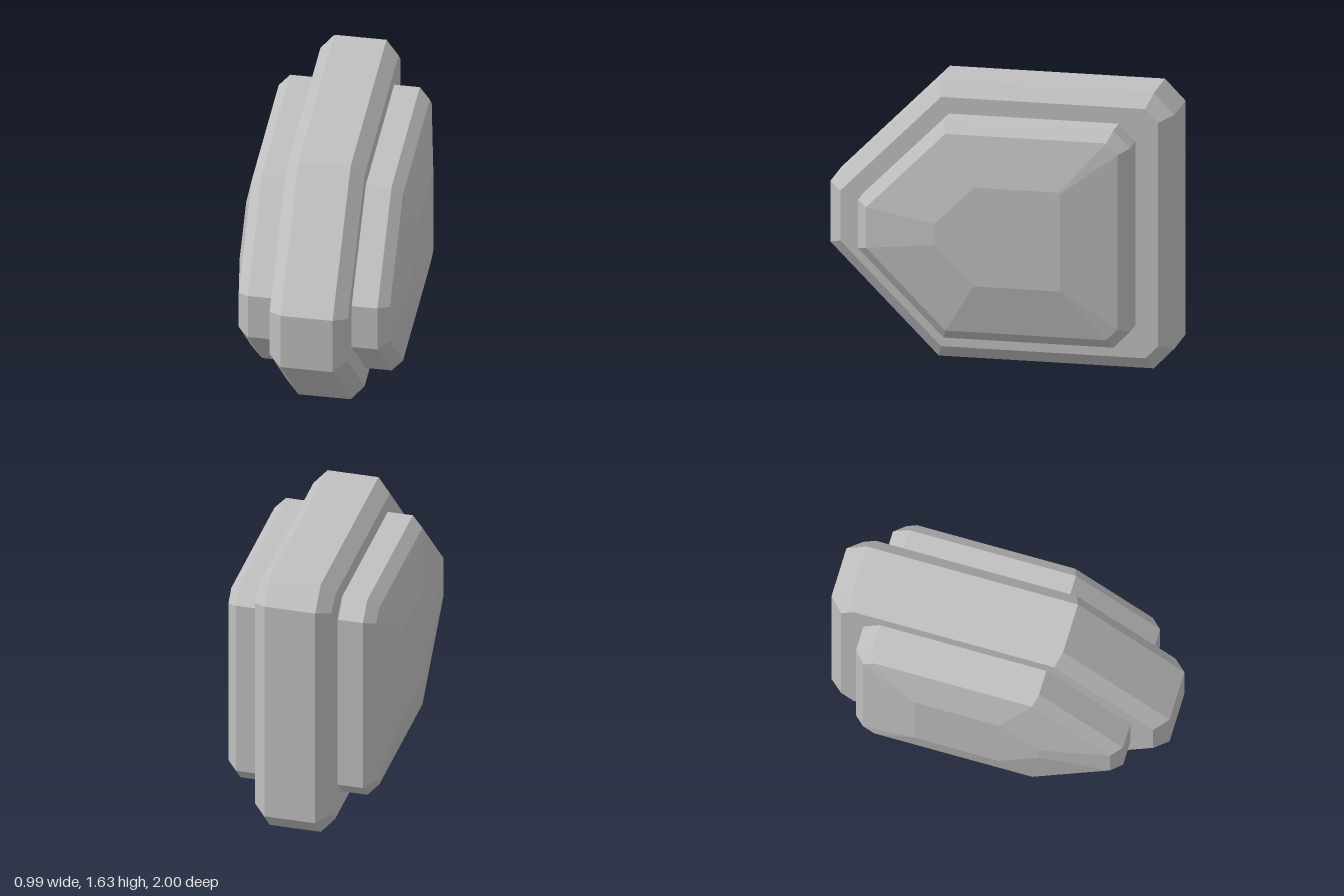
import * as THREE from 'three';

// Pointed eight-sided outline, symmetric about mid height, as [z, y] pairs
const MID = 0.814;
function outline(front, frontHalf, shoulder, half, corner, back, backHalf) {
  const upper = [[front, frontHalf], [shoulder, half], [corner, half], [back, backHalf]];
  const lower = upper.map(([z, h]) => [z, -h]).reverse();
  return [...upper, ...lower].map(([z, h]) => [z, MID + h]);
}

// Closed solid lofted through outlines at increasing x, with flat faces
function loft(stations) {
  const pos = [];
  const tri = (...pts) => pts.forEach((p) => pos.push(...p));
  const rings = stations.map(([x, o]) => o.map(([z, y]) => [x, y, z]));
  const n = rings[0].length;
  for (let s = 0; s < rings.length - 1; s++) {
    const a = rings[s], b = rings[s + 1];
    for (let i = 0; i < n; i++) {
      const j = (i + 1) % n;
      tri(a[i], b[i], b[j]);
      tri(a[i], b[j], a[j]);
    }
  }
  const first = rings[0], last = rings[rings.length - 1];
  for (let i = 1; i < n - 1; i++) {
    tri(first[0], first[i], first[i + 1]);
    tri(last[0], last[i + 1], last[i]);
  }
  const g = new THREE.BufferGeometry();
  g.setAttribute('position', new THREE.Float32BufferAttribute(pos, 3));
  g.computeVertexNormals();
  return g;
}

const mirror = (stations) => stations.map(([x, o]) => [-x, o]).reverse();

export function createModel() {
  const group = new THREE.Group();
  const grey = new THREE.MeshStandardMaterial({ color: 0xc0c0c0 });
  grey.name = 'grey';
  const add = (name, stations) => {
    const mesh = new THREE.Mesh(loft(stations), grey);
    mesh.name = name;
    group.add(mesh);
  };

  // Central slab with bevelled rims
  const rim = outline(1, 0.179, 0.37, 0.814, -0.88, -1, 0.69);
  const rimInner = outline(0.925, 0.148, 0.34, 0.736, -0.848, -0.922, 0.66);
  add('centralSlab', [[-0.225, rimInner], [-0.15, rim], [0.15, rim], [0.225, rimInner]]);

  // Raised side plates, each with a bevel and a shallow faceted dome
  const plate = outline(0.79, 0.143, 0.293, 0.641, -0.693, -0.79, 0.543);
  const plateInner = outline(0.73, 0.12, 0.27, 0.581, -0.665, -0.73, 0.514);
  const dome = outline(0.32, 0.062, 0.09, 0.292, -0.4, -0.41, 0.284);
  const side = [[0.2, plate], [0.373, plate], [0.435, plateInner], [0.497, dome]];
  add('leftSidePlate', side);
  add('rightSidePlate', mirror(side));

  return group;
}
